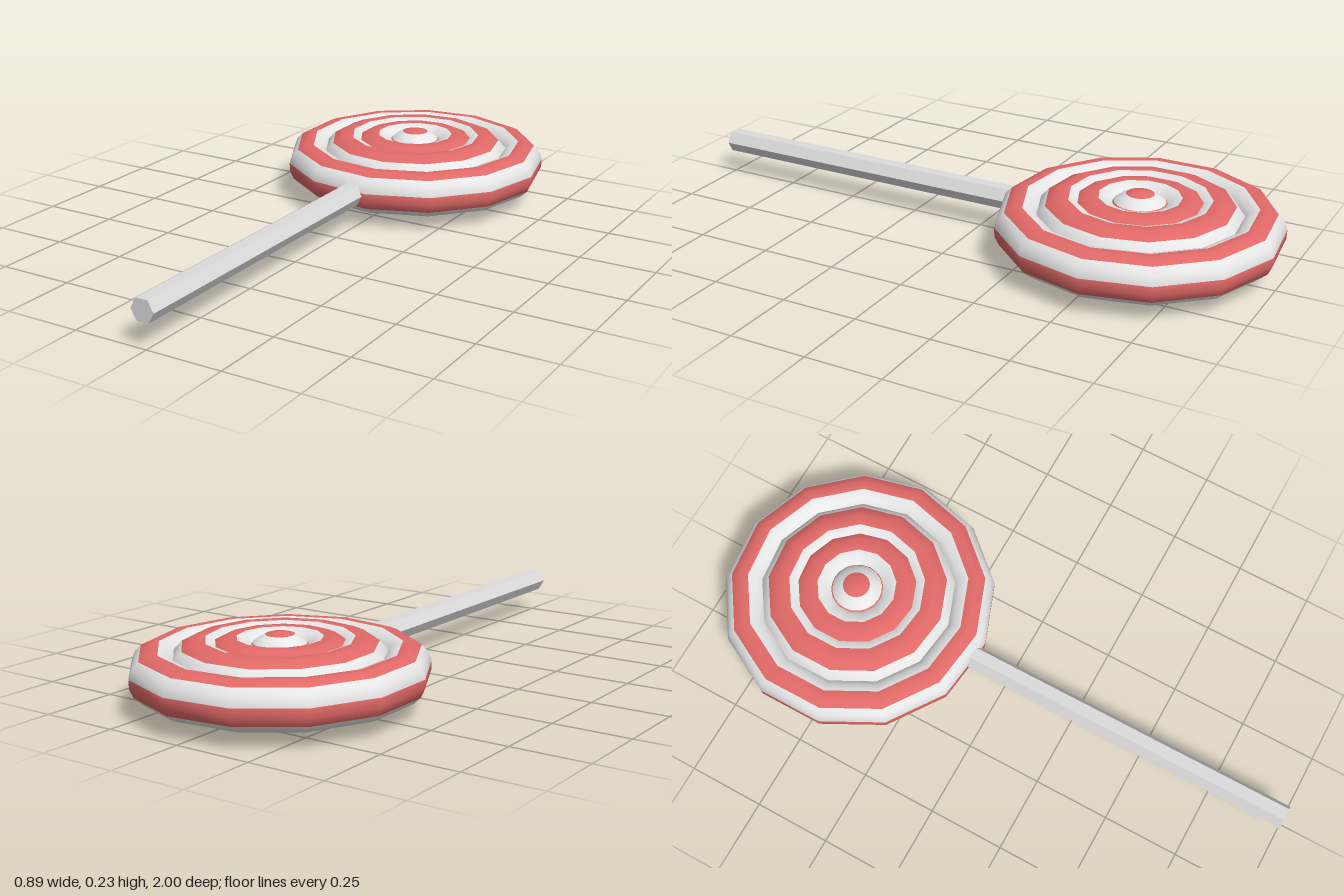
import * as THREE from 'three';

const CX = -0.008, CY = 0.115, CZ = -0.553;

export function createModel() {
  const white = new THREE.MeshStandardMaterial({ color: 0xe8e8e8 });
  white.name = 'candy white';
  const red = new THREE.MeshStandardMaterial({ color: 0xe26a68 });
  red.name = 'candy red';
  const stickGrey = new THREE.MeshStandardMaterial({ color: 0xdcdcdc, flatShading: true });
  stickGrey.name = 'stick grey';

  const model = new THREE.Group();
  model.name = 'lollipop';
  const candy = new THREE.Group();
  candy.name = 'candy';
  candy.position.set(CX, CY, CZ);
  model.add(candy);

  // Lathe a circular profile and share its smooth surface between a red and a
  // white mesh, alternating every two profile steps (eight stripes in total).
  function stripedLathe(name, ringRadius, tubeRadius, startDeg, sweepDeg, sides, firstIsRed) {
    const steps = 16;
    const profile = [];
    for (let j = 0; j <= steps; j++) {
      const a = THREE.MathUtils.degToRad(startDeg + (sweepDeg * j) / steps);
      profile.push(new THREE.Vector2(
        Math.max(0, ringRadius + tubeRadius * Math.cos(a)), tubeRadius * Math.sin(a)));
    }
    const base = new THREE.LatheGeometry(profile, sides, Math.PI / 2);
    const source = base.index.array;
    const faces = { red: [], white: [] };
    for (let q = 0; q < sides * steps; q++) {
      const even = Math.floor((q % steps) / 2) % 2 === 0;
      const target = even === firstIsRed ? faces.red : faces.white;
      for (let k = 0; k < 6; k++) target.push(source[q * 6 + k]);
    }
    const group = new THREE.Group();
    group.name = name;
    for (const [key, material] of [['red', red], ['white', white]]) {
      const geometry = base.clone();
      geometry.setIndex(faces[key]);
      const mesh = new THREE.Mesh(geometry, material);
      mesh.name = name + (key === 'red' ? 'RedStripes' : 'WhiteStripes');
      group.add(mesh);
    }
    candy.add(group);
  }

  // Nested candy rings, getting thicker toward the middle
  stripedLathe('outerRing', 0.376, 0.075, -171, 360, 13, false);
  stripedLathe('middleRing', 0.238, 0.096, -171, 360, 13, false);
  stripedLathe('innerRing', 0.145, 0.099, -171, 360, 13, false);

  // Centre ball: white at the bottom pole, red at the top pole
  stripedLathe('centreBall', 0, 0.115, -90, 180, 20, false);

  // Hexagonal stick running forward from inside the candy rim
  const back = -0.18, front = 1;
  const stickGeometry = new THREE.CylinderGeometry(0.04, 0.04, front - back, 6);
  stickGeometry.rotateY(Math.PI / 6);
  stickGeometry.rotateX(Math.PI / 2);
  const stick = new THREE.Mesh(stickGeometry, stickGrey);
  stick.name = 'stick';
  stick.position.set(CX, CY, (front + back) / 2);
  model.add(stick);

  return model;
}
